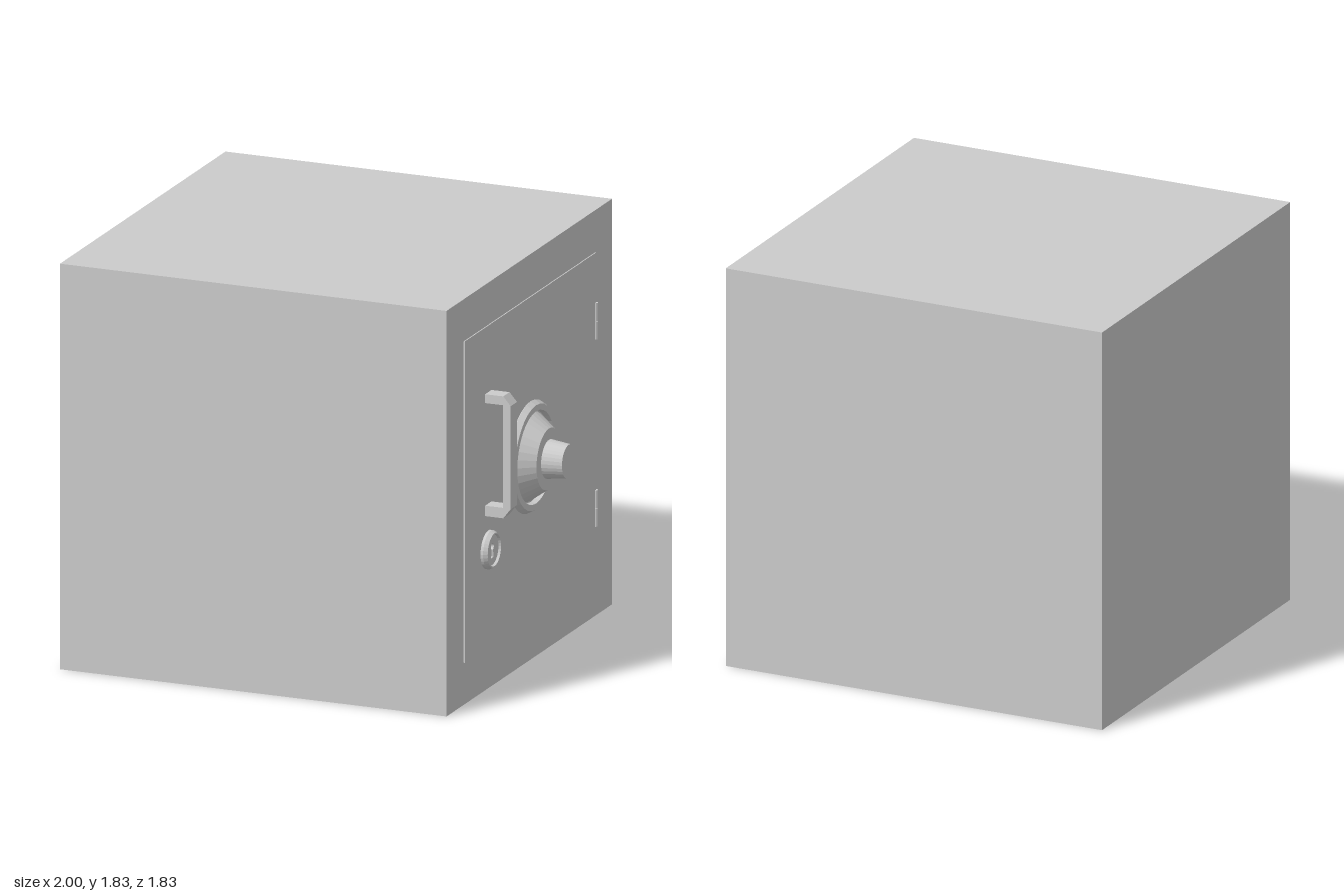
import * as THREE from 'three';

const FACE = 0.815; // x of the body's door side
const DOOR = 0.82;  // x of the door surface

export function createModel() {
  const model = new THREE.Group();
  const metal = new THREE.MeshStandardMaterial({ color: 0xcccccc, flatShading: true });

  function add(name, geometry, x = 0, y = 0, z = 0, parent = model) {
    const mesh = new THREE.Mesh(geometry, metal);
    mesh.name = name;
    mesh.position.set(x, y, z);
    parent.add(mesh);
    return mesh;
  }

  // Turned part whose axis points along +x; profile is [radius, x]
  function turned(profile, segments) {
    const points = profile.map(([r, x]) => new THREE.Vector2(r, x));
    return new THREE.LatheGeometry(points, segments).rotateZ(-Math.PI / 2);
  }

  // Body and slightly raised door
  add('body', new THREE.BoxGeometry(FACE + 1, 1.83, 1.83), (FACE - 1) / 2, 0.915, 0);
  add('door', new THREE.BoxGeometry(0.03, 1.45, 1.45), DOOR - 0.015, 0.915, 0);

  // Combination dial: outer ring, groove, cone and knob
  const dial = new THREE.Group();
  dial.name = 'dial';
  dial.position.set(0, 0.92, 0);
  model.add(dial);
  add('dialRing', turned([[0.25, FACE], [0.25, 0.822], [0.235, 0.847], [0.208, 0.847], [0.203, 0.823], [0.19, 0.823]], 32), 0, 0, 0, dial);
  add('dialCone', turned([[0.198, 0.822], [0.137, 0.907], [0, 0.907]], 32), 0, 0, 0, dial);
  add('dialKnob', turned([[0.087, 0.905], [0.075, 1], [0, 1]], 32), 0, 0, 0, dial);

  // Pull handle: a bent bar with chamfered outer corners
  const bar = new THREE.Shape([
    [FACE, 0.79], [0.905, 0.79], [0.94, 0.835], [0.94, 1.3], [0.905, 1.34], [FACE, 1.34],
    [FACE, 1.3], [0.903, 1.3], [0.903, 0.837], [FACE, 0.837],
  ].map(([x, y]) => new THREE.Vector2(x, y)));
  add('handle', new THREE.ExtrudeGeometry(bar, { depth: 0.07, bevelEnabled: false }), 0, 0, 0.43);

  // Key lock: bevelled rim around a plate pierced by a keyhole
  const lock = new THREE.Group();
  lock.name = 'keyLock';
  lock.position.set(0, 0.63, 0.465);
  model.add(lock);
  add('lockRim', turned([[0.086, FACE], [0.086, 0.832], [0.077, 0.85], [0.071, 0.85], [0.067, 0.838], [0.06, 0.838]], 32), 0, 0, 0, lock);
  const plate = new THREE.Shape().absarc(0, 0, 0.069, 0, Math.PI * 2);
  const keyhole = new THREE.Path();
  keyhole.moveTo(-0.014, -0.035);
  keyhole.lineTo(0.014, -0.035);
  keyhole.lineTo(0.008, 0);
  keyhole.absarc(0, 0.014, 0.016, -Math.PI / 3, Math.PI * 4 / 3, false);
  keyhole.closePath();
  plate.holes.push(keyhole);
  const plateGeometry = new THREE.ExtrudeGeometry(plate, { depth: 0.02, bevelEnabled: false, curveSegments: 16 });
  add('lockPlate', plateGeometry.rotateY(Math.PI / 2), 0.819, 0, 0, lock);

  // Two hinges, each a pair of knuckles
  for (const y of [0.488, 1.333]) {
    for (const side of [-1, 1]) {
      add('hingeKnuckle', new THREE.CylinderGeometry(0.011, 0.011, 0.081, 12), 0.819, y + side * 0.0415, -0.725);
    }
  }
  return model;
}
